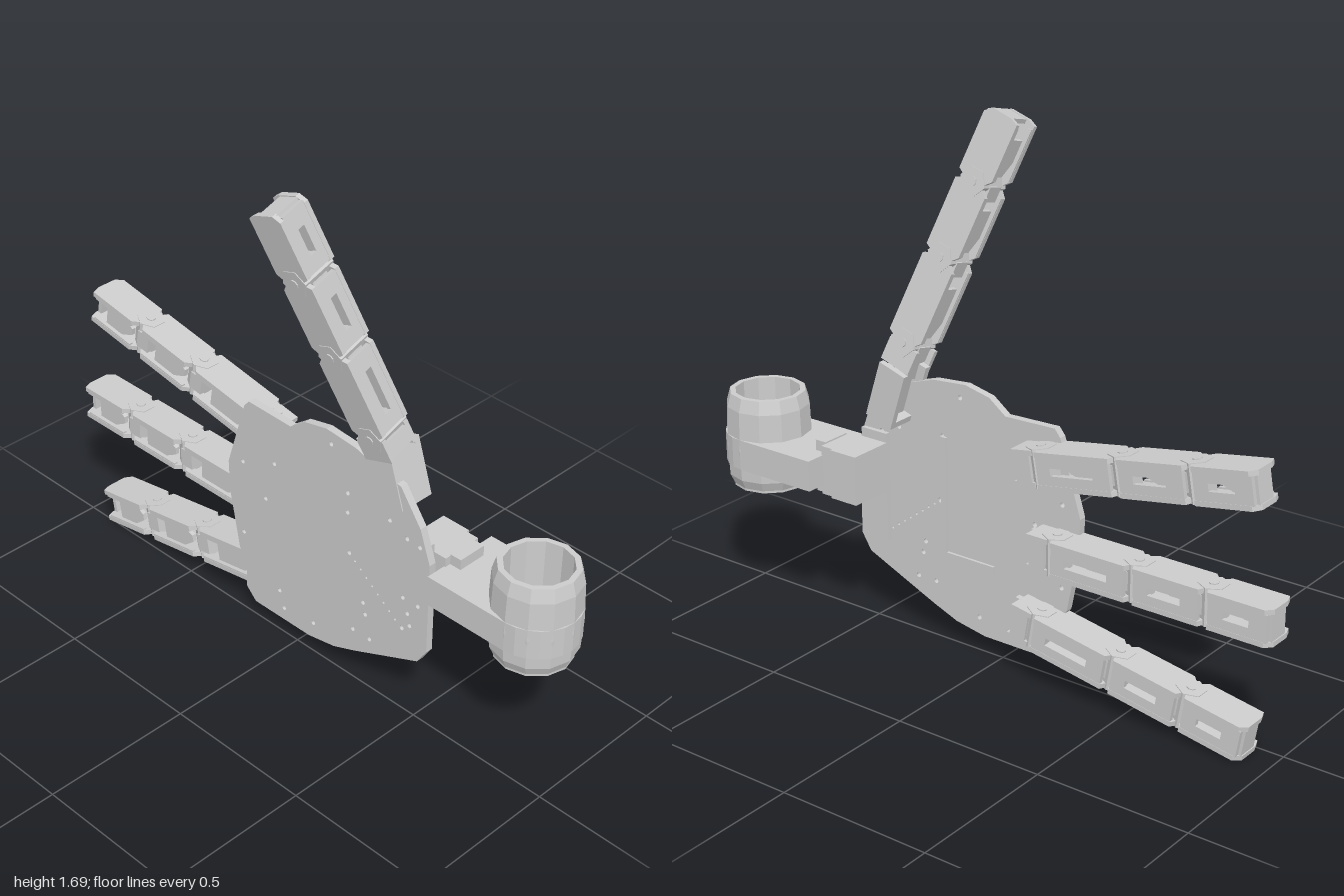
import * as THREE from 'three';

const grey = new THREE.MeshStandardMaterial({ color: 0xcccccc, flatShading: true, side: THREE.DoubleSide });
const HALF = 0.0575; // half the width of a finger
const BACK = -0.112, FRONT = 0.008;

function add(parent, name, geometry, x = 0, y = 0, z = 0) {
  const mesh = new THREE.Mesh(geometry, grey);
  mesh.name = name;
  mesh.position.set(x, y, z);
  parent.add(mesh);
  return mesh;
}

// Box given by its lower and upper corners
function block(parent, name, a, b) {
  return add(parent, name, new THREE.BoxGeometry(b[0] - a[0], b[1] - a[1], b[2] - a[2]),
    (a[0] + b[0]) / 2, (a[1] + b[1]) / 2, (a[2] + b[2]) / 2);
}

const outline = (points) => new THREE.Shape(points.map(([x, y]) => new THREE.Vector2(x, y)));

function slab(shape, depth, curveSegments = 8) {
  return new THREE.ExtrudeGeometry(shape, { depth, bevelEnabled: false, curveSegments });
}

// Slab drawn in x and z, with its thickness going down from y = 0
const lyingSlab = (shape, depth, segments) => slab(shape, depth, segments).rotateX(Math.PI / 2);

function punch(shape, x, y, r) {
  shape.holes.push(new THREE.Path().absarc(x, y, r, 0, Math.PI * 2, true));
}

// Flat palm with screw holes and mounting rails behind
function makePalm() {
  const palm = new THREE.Group();
  palm.name = 'palm';
  const shape = outline([
    [-0.18, 0.07], [0.06, 0.07], [0.17, 0.09], [0.26, 0.125], [0.515, 0.235], [0.55, 0.29], [0.55, 0.61],
    [0.51, 0.72], [0.43, 0.83], [0.36, 0.84], [0.25, 0.875], [0.13, 0.885], [0.04, 0.865], [-0.02, 0.82],
    [-0.2, 0.825], [-0.22, 0.8], [-0.245, 0.72], [-0.295, 0.56], [-0.29, 0.45], [-0.25, 0.25], [-0.22, 0.2], [-0.22, 0.11]
  ]);
  const holes = [
    [0.15, 0.84], [-0.23, 0.59], [-0.23, 0.32], [-0.07, 0.175], [-0.05, 0.115], [0.08, 0.13], [0.25, 0.205],
    [0.32, 0.205], [0.3, 0.29], [0.29, 0.33], [0.45, 0.325], [0.48, 0.35], [0.47, 0.39], [0.51, 0.44], [0.45, 0.44],
    [0.46, 0.66], [0.51, 0.655], [0.39, 0.69], [0.22, 0.63], [0.22, 0.7], [0.23, 0.485], [-0.09, 0.65], [-0.13, 0.5]
  ];
  holes.forEach(([x, y]) => punch(shape, x, y, 0.008));
  for (let i = 1; i < 9; i++) punch(shape, 0.23 + i * 0.024, 0.485 - i * 0.018, 0.004);
  add(palm, 'palmPlate', slab(shape, 0.025), 0, 0, -0.015);
  block(palm, 'longRail', [0.2, 0.3, -0.024], [0.22, 0.7, -0.014]);
  block(palm, 'crossRail', [0.02, 0.3, -0.024], [0.2, 0.32, -0.014]);
  block(palm, 'edgeRail', [0.43, 0.3, -0.03], [0.53, 0.66, -0.014]);
  return palm;
}

// One hollow finger link from x = a to x = b
function makeLink(a, b, isTip) {
  const link = new THREE.Group();
  link.name = isTip ? 'fingertip' : 'fingerLink';
  const c = 0.022;
  const side = outline(isTip
    ? [[a + 0.02, BACK], [b - 0.01, BACK], [b, BACK + c], [b, FRONT - c], [b - c, FRONT], [a + 0.01, FRONT], [a, -0.02], [a, -0.09]]
    : [[a + 0.01, BACK], [b - 0.01, BACK], [b, BACK + c], [b, FRONT - c], [b - c, FRONT], [a + c, FRONT], [a, FRONT - c], [a, BACK + c]]);
  for (const y of [HALF, -HALF + 0.016]) add(link, 'sideWall', lyingSlab(side, 0.016), 0, y, 0);

  // Back wall with a long slot
  const w = HALF - 0.014;
  const back = outline([[a + 0.012, -w], [b - 0.012, -w], [b - 0.012, w], [a + 0.012, w]]);
  const slot = [[a + 0.07, -0.012], [a + 0.07, 0.012], [b - 0.06, 0.012], [b - 0.06, -0.012]];
  back.holes.push(new THREE.Path(slot.map(([x, y]) => new THREE.Vector2(x, y))));
  add(link, 'backWall', slab(back, 0.015), 0, 0, BACK + 0.001);

  // Front cover narrowing towards the joint
  const m = a + (b - a) * 0.3;
  const cover = outline([[m, -w], [b - 0.085, -w], [b - 0.03, -0.012], [b - 0.03, 0.012], [b - 0.085, w], [m, w]]);
  add(link, 'frontCover', slab(cover, 0.014), 0, 0, -0.022);
  for (const s of [-1, 1]) {
    block(link, 'frontRail', [a + c, s * 0.044 - 0.008, FRONT - 0.014], [b - c, s * 0.044 + 0.008, FRONT - 0.001]);
  }
  if (isTip) block(link, 'endWall', [a + 0.003, -w, -0.095], [a + 0.017, w, -0.025]);
  return link;
}

// Finger with its tip at x = 0 and its root at +x, open towards +z
function makeFinger(name) {
  const finger = new THREE.Group();
  finger.name = name;
  const links = [[0, 0.215], [0.225, 0.465], [0.475, 0.755]];
  links.forEach(([a, b], i) => finger.add(makeLink(a, b, i === 0)));

  // Hinges with hexagonal caps and a block in each joint
  for (const x of [0.22, 0.47, 0.76]) {
    add(finger, 'hingeCap', new THREE.CylinderGeometry(0.046, 0.046, HALF * 2 + 0.005, 6), x, 0, -0.052);
    add(finger, 'hingePin', new THREE.CylinderGeometry(0.015, 0.015, HALF * 2 + 0.012, 8), x, 0, -0.052);
    block(finger, 'jointBlock', [x - 0.005, -0.03, -0.09], [x + 0.045, 0.03, -0.004]);
  }

  // Root bracket
  for (const s of [-1, 1]) {
    block(finger, 'rootCheek', [0.765, s * 0.049 - 0.008, -0.1], [0.84, s * 0.049 + 0.008, FRONT]);
  }
  block(finger, 'rootBack', [0.775, -0.042, -0.1], [0.83, 0.042, -0.08]);
  block(finger, 'rootTab', [0.77, -0.04, -0.035], [0.87, 0.04, -0.012]);
  return finger;
}

// Ring on the side arm
function makeSideArm() {
  const arm = new THREE.Group();
  arm.name = 'sideArm';
  const cx = 0.86, cz = -0.098, r = 0.138;

  block(arm, 'mountBlock', [0.43, 0.47, -0.18], [0.53, 0.63, -0.02]);
  block(arm, 'mountFlange', [0.53, 0.47, -0.17], [0.575, 0.63, -0.03]);
  block(arm, 'mountPlate', [0.575, 0.465, -0.15], [0.615, 0.635, -0.05]);

  // Flat arm wrapped around the cup
  const strap = new THREE.Shape();
  strap.moveTo(0.57, cz - r);
  strap.lineTo(cx, cz - r);
  strap.absarc(cx, cz, r, -Math.PI / 2, Math.PI / 2, false);
  strap.lineTo(0.57, cz + r);
  strap.closePath();
  punch(strap, cx, cz, 0.12);
  add(arm, 'flatArm', lyingSlab(strap, 0.1, 6), 0, 0.6, 0);

  const profile = [[0.118, 0.425], [0.134, 0.46], [0.139, 0.56], [0.134, 0.69], [0.122, 0.733], [0.104, 0.733], [0.1, 0.45]];
  const wall = new THREE.LatheGeometry(profile.map(([x, y]) => new THREE.Vector2(x, y)), 12);
  add(arm, 'cupWall', wall, cx, 0, cz);

  // Cup floor with a ring of screw holes
  const floor = new THREE.Shape().absarc(0, 0, 0.12, 0, Math.PI * 2, false);
  punch(floor, 0, 0, 0.028);
  for (let i = 0; i < 8; i++) {
    const t = i * Math.PI / 4;
    punch(floor, 0.066 * Math.cos(t), 0.066 * Math.sin(t), 0.01);
  }
  add(arm, 'cupFloor', lyingSlab(floor, 0.03, 6), cx, 0.452, cz);
  return arm;
}

export function createModel() {
  const hand = new THREE.Group();
  hand.name = 'roboticHand';
  hand.add(makePalm(), makeSideArm());

  // Three fingers fanned out in the plane of the palm
  const fan = [
    ['upperFinger', -0.938, 0.85, -0.17],
    ['middleFinger', -1, 0.453, 0],
    ['lowerFinger', -0.925, 0.066, 0.17]
  ];
  for (const [name, x, y, angle] of fan) {
    const finger = makeFinger(name);
    finger.position.set(x, y, 0);
    finger.rotation.z = angle;
    hand.add(finger);
  }

  // Upright finger leaning forward, open towards the other fingers
  const upright = makeFinger('uprightFinger');
  const along = new THREE.Vector3(0.306, -0.919, -0.248).normalize();
  const open = new THREE.Vector3().crossVectors(along, new THREE.Vector3(0, 0, 1)).normalize();
  const hinge = new THREE.Vector3().crossVectors(open, along);
  upright.quaternion.setFromRotationMatrix(new THREE.Matrix4().makeBasis(along, hinge, open));
  upright.position.set(0.052, 1.66, 0.18);
  hand.add(upright);

  // Bracket holding the upright finger to the palm
  const bracket = new THREE.Group();
  bracket.name = 'uprightBracket';
  for (const z of [-0.1, 0.004]) {
    block(bracket, 'bracketCheek', [-0.05, -0.09, z - 0.01], [0.05, 0.1, z + 0.01]);
  }
  block(bracket, 'bracketWeb', [0.03, -0.09, -0.1], [0.05, 0.08, 0]);
  block(bracket, 'bracketFoot', [-0.05, -0.09, -0.1], [0.05, -0.07, 0]);
  block(bracket, 'bracketCore', [-0.02, -0.08, -0.07], [0.04, 0.07, -0.02]);
  bracket.position.set(0.366, 0.82, 0);
  bracket.rotation.z = 0.31;
  hand.add(bracket);
  return hand;
}
